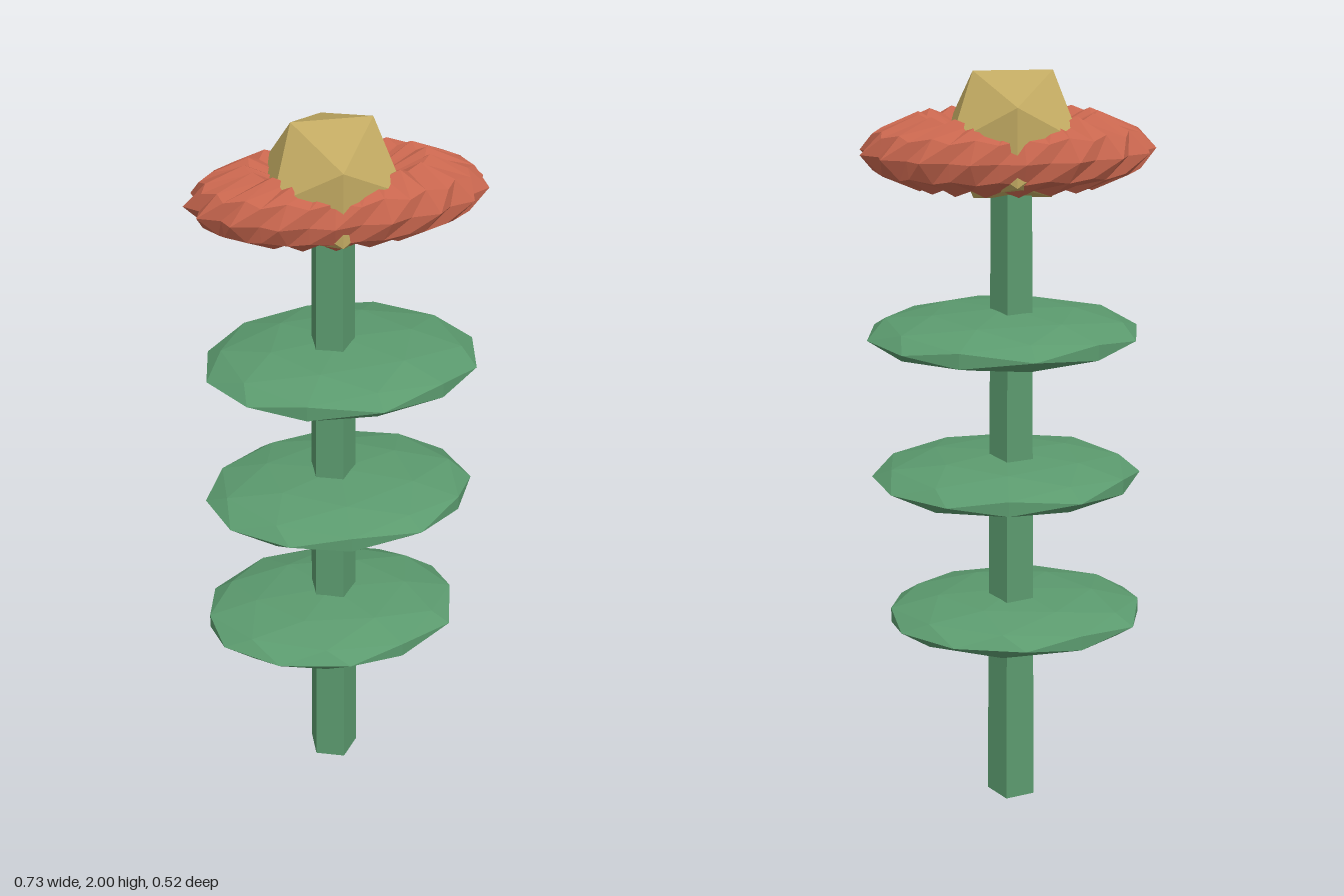
import * as THREE from 'three';

const material = (color) =>
  new THREE.MeshStandardMaterial({ color, flatShading: true });

// Spiky closed ring: pointed columns alternate with blunter ones
function spikyRing(tips, rx, rz) {
  const sharp = [[1, 0], [0.85, 0.055], [0.6, 0.095], [0.3, 0.04],
    [0.3, -0.04], [0.6, -0.095], [0.85, -0.055]];
  const blunt = [[0.92, 0], [0.9, 0.045], [0.57, 0.08], [0.3, 0.03],
    [0.3, -0.03], [0.57, -0.08], [0.9, -0.045]];
  const columns = tips * 2, n = sharp.length;
  const positions = [], index = [];
  for (let i = 0; i < columns; i++) {
    const a = (i / columns) * Math.PI * 2;
    for (const [r, y] of i % 2 ? sharp : blunt) {
      positions.push(r * rx * Math.cos(a), y, r * rz * Math.sin(a));
    }
    for (let k = 0; k < n; k++) {
      const i2 = (i + 1) % columns, k2 = (k + 1) % n;
      const p = i * n + k, up = i * n + k2, next = i2 * n + k, far = i2 * n + k2;
      index.push(p, up, next, up, far, next);
    }
  }
  const g = new THREE.BufferGeometry();
  g.setAttribute('position', new THREE.Float32BufferAttribute(positions, 3));
  g.setIndex(index);
  g.computeVertexNormals();
  return g;
}

export function createModel() {
  const model = new THREE.Group();
  const green = material(0x5b9a6e);
  const add = (name, geometry, mat, x, y, z) => {
    const mesh = new THREE.Mesh(geometry, mat);
    mesh.name = name;
    mesh.position.set(x, y, z);
    model.add(mesh);
  };

  // Five-sided tapering stem
  const stem = new THREE.CylinderGeometry(0.055, 0.069, 1.76, 5);
  stem.rotateY(Math.PI / 2);
  add('stem', stem, green, -0.014, 0.88, -0.003);

  // Three flattened leaf discs, each turned differently: x, y, z, turn
  const leaves = [
    [-0.022, 0.54, 0.015, 60],
    [0.002, 0.94, 0.011, 30],
    [0.01, 1.335, -0.006, 10],
  ];
  for (const [x, y, z, turn] of leaves) {
    const leaf = new THREE.IcosahedronGeometry(1, 1);
    leaf.rotateY(THREE.MathUtils.degToRad(turn));
    leaf.scale(0.352, 0.066, 0.252);
    add('leaf', leaf, green, x, y, z);
  }

  // Flower head
  add('petals', spikyRing(17, 0.368, 0.172), material(0xc8664e), 0, 1.805, -0.008);
  add('flowerCentre', new THREE.IcosahedronGeometry(0.185, 0), material(0xc2aa62),
    -0.013, 1.843, -0.008);

  return model;
}
